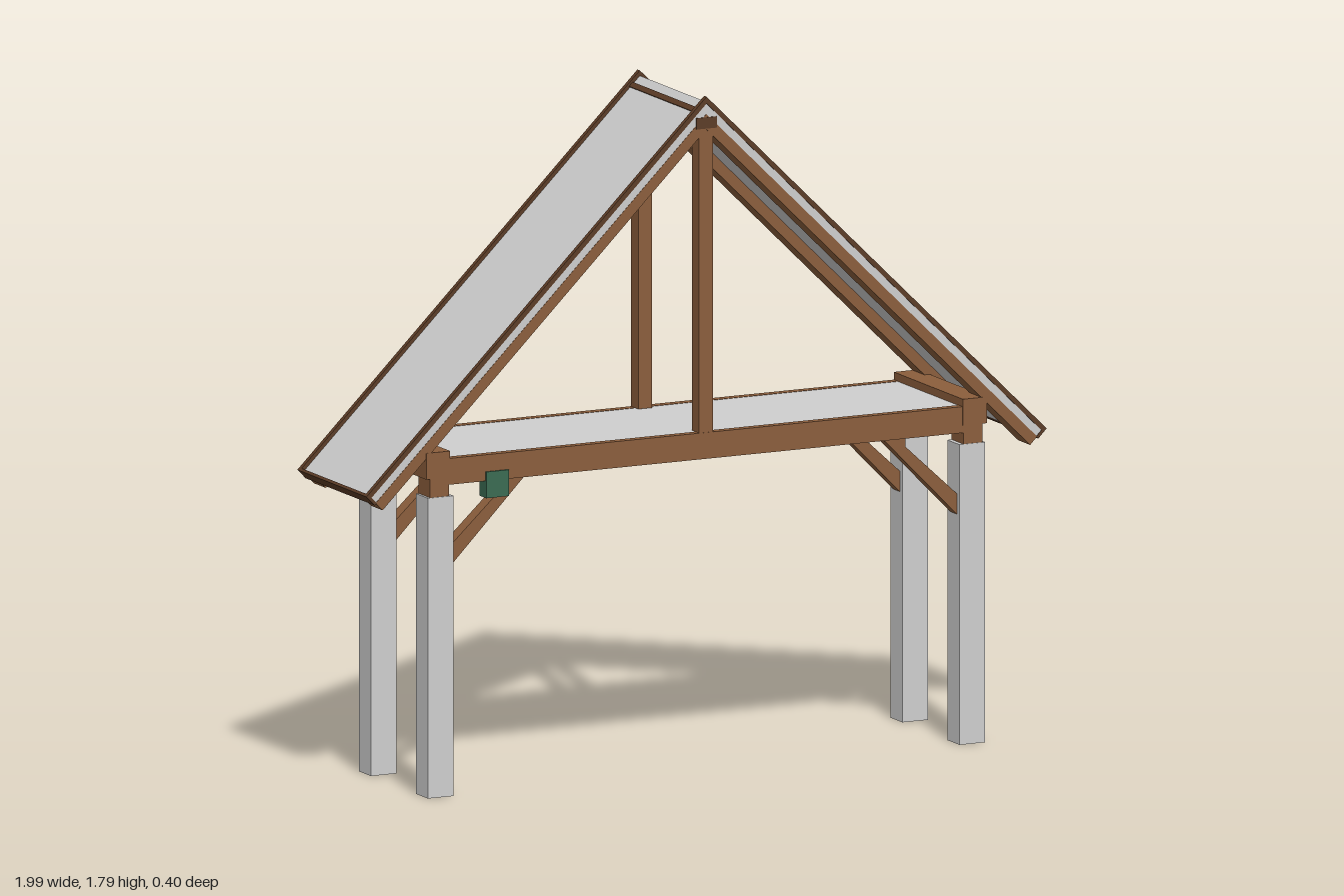
import * as THREE from 'three';

export function createModel() {
  const root = new THREE.Group();
  root.name = 'timberPorch';
  const mat = (name, color) => {
    const m = new THREE.MeshStandardMaterial({ color });
    m.name = name;
    return m;
  };
  const grey = mat('paleGrey', 0xcfcfcf);
  const wood = mat('timber', 0x8b5e3c);
  const dark = mat('darkTimber', 0x5c3c26);
  const green = mat('greenBox', 0x3a6b52);

  const add = (name, geometry, material) => {
    const m = new THREE.Mesh(geometry, material);
    m.name = name;
    root.add(m);
    return m;
  };
  // Box given by its limits on each axis
  const box = (name, material, [x0, x1], [y0, y1], [z0, z1]) => {
    const m = add(name, new THREE.BoxGeometry(Math.abs(x1 - x0), y1 - y0, Math.abs(z1 - z0)), material);
    m.position.set((x0 + x1) / 2, (y0 + y1) / 2, (z0 + z1) / 2);
  };
  // Polygon in x, y carried from z0 to z1
  const prism = (name, material, points, z0, z1) => {
    const shape = new THREE.Shape(points.map(([x, y]) => new THREE.Vector2(x, y)));
    const geo = new THREE.ExtrudeGeometry(shape, { depth: Math.abs(z1 - z0), bevelEnabled: false });
    geo.translate(0, 0, Math.min(z0, z1));
    add(name, geo, material);
  };

  // Roof layer: d = depth below the outer roof line, s = distance down the slope (0 is mitred)
  const APEX = 1.795, EAVE = [0.995, 0.82];
  const LEN = Math.hypot(EAVE[0], APEX - EAVE[1]);
  const c = EAVE[0] / LEN, n = (APEX - EAVE[1]) / LEN;
  const layer = (name, material, side, d0, d1, s0, s1, z0, z1) => {
    const at = (s, d) => s === 0 ? [0, APEX - d / c] : [side * (c * s - n * d), APEX - n * s - c * d];
    prism(name, material, [at(s0, d0), at(s1, d0), at(s1, d1), at(s0, d1)], z0, z1);
  };

  const postMaterials = [grey, grey, grey, grey, grey, wood];
  for (const x of [-1, 1]) {
    // Roof slope with its edge trim
    layer('roofPanel', grey, x, 0.01, 0.033, 0, LEN - 0.008, -0.198, 0.198);
    layer('eaveFascia', dark, x, 0, 0.035, LEN - 0.008, LEN, -0.2, 0.2);
    layer('ridgeTrim', dark, x, 0.006, 0.012, 0.035, 0.05, -0.19, 0.19);
    box('wallPlate', wood, [x * 0.75, x * 0.82], [0.85, 0.92], [-0.2, 0.2]);

    for (const z of [-1, 1]) {
      layer('bargeTrim', dark, x, 0, 0.013, 0, LEN, z * 0.186, z * 0.2);
      layer('rafter', wood, x, 0.033, 0.062, 0, LEN - 0.006, z * 0.13, z * 0.199);
      box('post', postMaterials, [x * 0.74, x * 0.815], [0, 0.8], [z * 0.13, z * 0.2]);
      box('postHead', wood, [x * 0.752, x * 0.808], [0.8, 0.85], [z * 0.13, z * 0.198]);
      prism('kneeBrace', wood,
        [[0.742, 0.61], [0.742, 0.665], [0.59, 0.805], [0.59, 0.832], [0.53, 0.832], [0.53, 0.825]]
          .map(([px, py]) => [x * px, py]),
        z * 0.145, z * 0.185);
    }
  }

  // Ceiling deck between the two tie beams
  box('ceilingDeck', grey, [-0.775, 0.775], [0.831, 0.899], [-0.185, 0.185]);
  for (const z of [-1, 1]) {
    box('tieBeam', wood, [-0.755, 0.755], [0.83, 0.9], [z * 0.175, z * 0.198]);
    box('kingPost', wood, [-0.02, 0.02], [0.9, 1.73], [z * 0.155, z * 0.197]);
    box('ridgeBlock', dark, [-0.03, 0.03], [1.71, 1.74], [z * 0.14, z * 0.2]);
  }

  // Small box fixed to the front beam
  box('junctionBox', green, [-0.646, -0.58], [0.785, 0.855], [0.165, 0.203]);
  return root;
}
